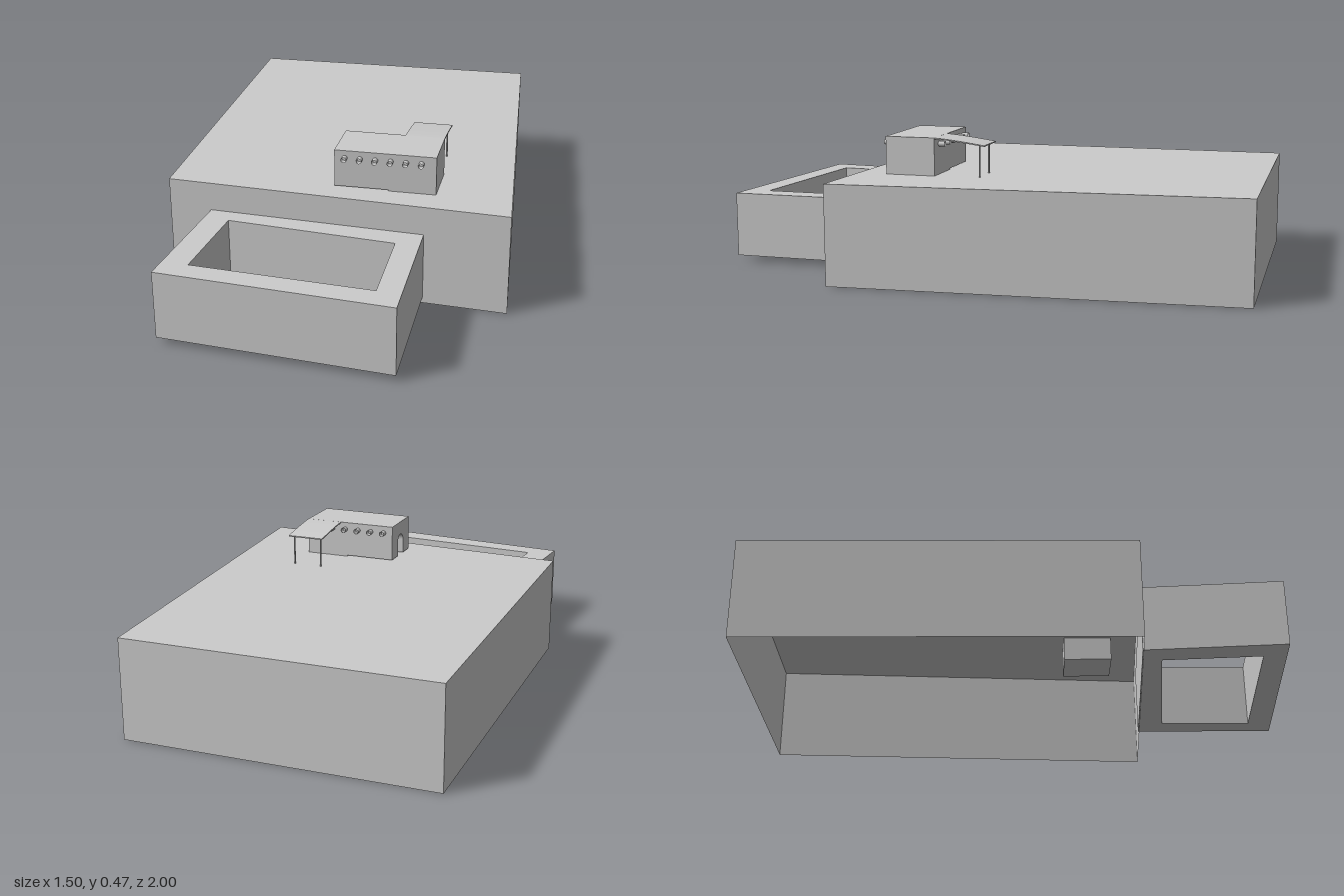
import * as THREE from 'three';

const grey = new THREE.MeshStandardMaterial({ color: 0xcccccc, side: THREE.DoubleSide });

function add(parent, name, geometry, x = 0, y = 0, z = 0) {
  const mesh = new THREE.Mesh(geometry, grey);
  mesh.name = name;
  mesh.position.set(x, y, z);
  parent.add(mesh);
  return mesh;
}

// Open-bottomed shell over a plan outline given counter-clockwise from above as [x, z]
function shell(plan, y0, y1) {
  const positions = [];
  const quad = (a, b, c, d) => positions.push(...a, ...b, ...c, ...a, ...c, ...d);
  const at = ([x, z], y) => [x, y, z];
  plan.forEach((p, i) => {
    const q = plan[(i + 1) % plan.length];
    quad(at(p, y0), at(q, y0), at(q, y1), at(p, y1));
  });
  quad(...plan.map((p) => at(p, y1)));
  const g = new THREE.BufferGeometry();
  g.setAttribute('position', new THREE.Float32BufferAttribute(positions, 3));
  g.computeVertexNormals();
  return g;
}

// Solid prism over a plan outline with one hole
function framePrism(outer, inner, height) {
  const points = (list) => list.map(([x, z]) => new THREE.Vector2(x, -z));
  const shape = new THREE.Shape(points(outer));
  shape.holes.push(new THREE.Path(points(inner)));
  return new THREE.ExtrudeGeometry(shape, { depth: height, bevelEnabled: false }).rotateX(-Math.PI / 2);
}

export function createModel() {
  const model = new THREE.Group();
  model.name = 'houseOnTerrace';

  // Large hollow terrace block
  const terraceTop = 0.338;
  add(model, 'terrace', shell([[-0.23, -1], [-0.68, 0.2], [0.35, 0.67], [0.75, -0.64]], 0, terraceTop));

  // Lower walled court, its back just inside the terrace wall
  add(model, 'courtWalls', framePrism(
    [[-0.549, 0.257], [-0.75, 0.67], [-0.07, 1], [0.101, 0.553]],
    [[-0.5, 0.35], [-0.64, 0.64], [-0.11, 0.89], [0, 0.6]], 0.223), 0, 0.02, 0);

  // House, turned with the terrace edge
  const house = new THREE.Group();
  house.name = 'house';
  house.position.set(0.0325, 0, 0.33);
  house.rotation.y = -0.37;
  model.add(house);

  const length = 0.332, depth = 0.172, floor = 0.342, roof = 0.466;
  const height = roof - floor, recess = 0.03;
  add(house, 'houseBody', new THREE.BoxGeometry(length - recess, height, depth),
    recess / 2, (floor + roof) / 2, 0);

  // End wall with an arched doorway
  const wall = new THREE.Shape();
  wall.moveTo(-depth / 2, 0);
  wall.lineTo(-0.027, 0);
  wall.lineTo(-0.027, 0.05);
  wall.absarc(0, 0.05, 0.027, Math.PI, 0, true);
  wall.lineTo(0.027, 0);
  wall.lineTo(depth / 2, 0);
  wall.lineTo(depth / 2, height);
  wall.lineTo(-depth / 2, height);
  wall.closePath();
  const endWall = new THREE.ExtrudeGeometry(wall, { depth: recess, bevelEnabled: false, curveSegments: 10 });
  endWall.rotateY(Math.PI / 2);
  add(house, 'doorWall', endWall, -length / 2, floor, 0);

  // Cellar below one half of the house
  add(house, 'cellar', new THREE.BoxGeometry(0.155, floor - 0.252, depth),
    length / 2 - 0.0775, (floor + 0.252) / 2, 0);

  // Spout pipes along both long walls
  const pipe = new THREE.CylinderGeometry(0.009, 0.009, 0.026, 14, 1, true).rotateX(Math.PI / 2);
  for (const side of [1, -1]) {
    for (let i = 0; i < 6; i++) {
      add(house, 'spout', pipe, -0.132 + i * 0.05, 0.441, side * (depth / 2 + 0.009));
    }
  }

  // Thin canopy, bending gently down away from the back wall
  const canopy = new THREE.BoxGeometry(0.13, 0.004, 0.176, 1, 1, 8);
  const p = canopy.attributes.position;
  for (let i = 0; i < p.count; i++) {
    const t = 0.5 - p.getZ(i) / 0.176;
    p.setY(i, p.getY(i) - 0.02 * Math.pow(t, 1.3));
  }
  canopy.computeVertexNormals();
  add(house, 'canopy', canopy, 0.101, 0.464, -0.172);

  // Canopy posts
  const post = new THREE.CylinderGeometry(0.003, 0.003, 0.446 - terraceTop, 8);
  for (const x of [0.05, 0.152]) {
    add(house, 'canopyPost', post, x, (0.446 + terraceTop) / 2, -0.24);
  }
  return model;
}
